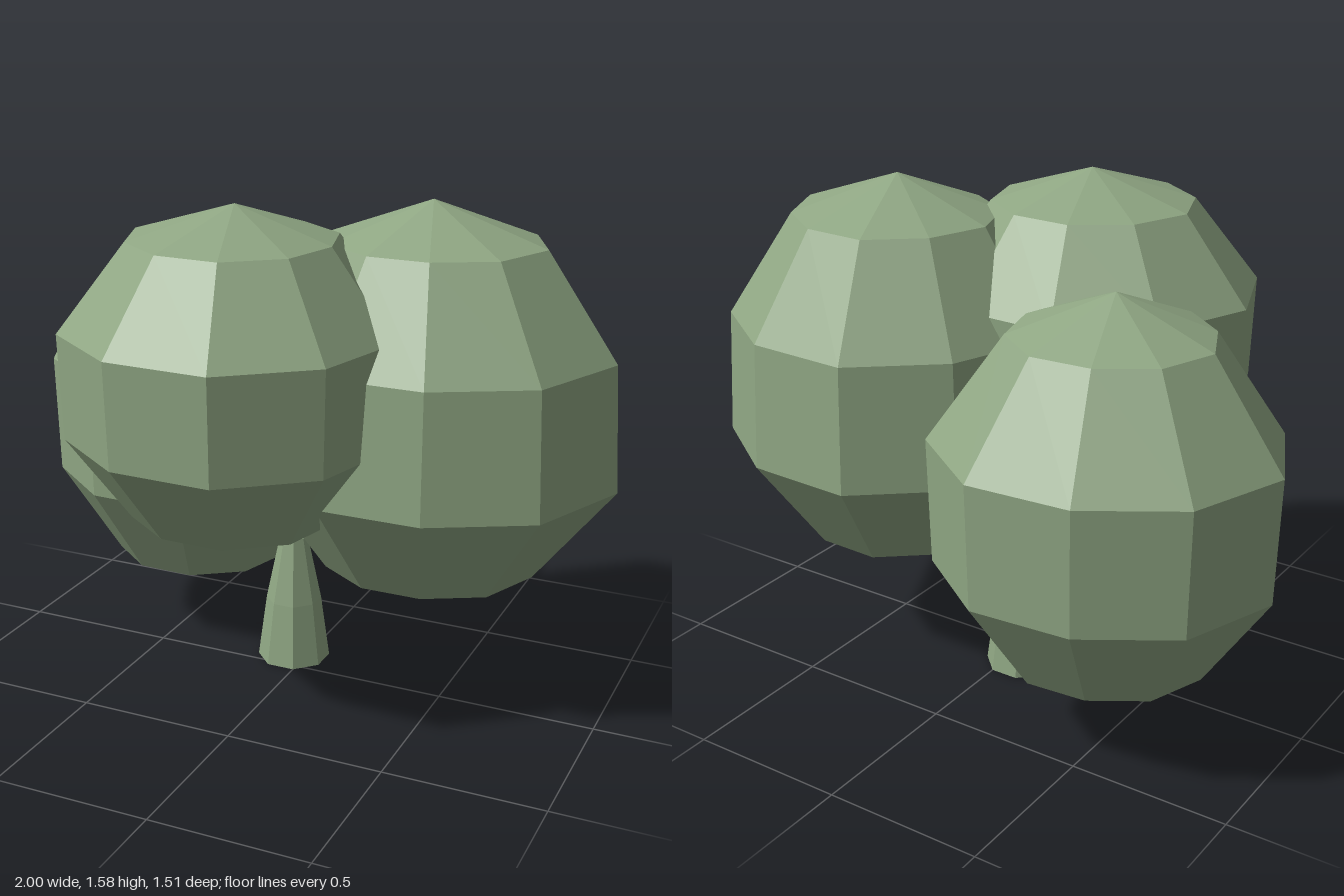
import * as THREE from 'three';

const SEGMENTS = 10, RINGS = 5;

// Faceted leaf ball: ten columns, five bands, each column with its own radius.
// Columns start at -x and run through +z, +x and -z.
function foliage(name, material, { centre, height, columns, ringScale }) {
  const geo = new THREE.SphereGeometry(1, SEGMENTS, RINGS);
  const pos = geo.attributes.position;
  for (let i = 0; i < pos.count; i++) {
    const ring = Math.floor(i / (SEGMENTS + 1));
    const col = (i % (SEGMENTS + 1)) % SEGMENTS;
    const angle = (col / SEGMENTS) * Math.PI * 2;
    const r = columns[col] * ringScale[ring];
    pos.setXYZ(i, -Math.cos(angle) * r, height * Math.cos((ring / RINGS) * Math.PI), Math.sin(angle) * r);
  }
  const flat = geo.toNonIndexed();
  flat.computeVertexNormals();
  const mesh = new THREE.Mesh(flat, material);
  mesh.name = name;
  mesh.position.set(...centre);
  return mesh;
}

export function createModel() {
  const group = new THREE.Group();
  group.name = 'tree';
  const green = new THREE.MeshStandardMaterial({ color: 0x8fa683, flatShading: true });
  green.name = 'sage green';

  // three overlapping leaf balls
  group.add(foliage('frontFoliage', green, {
    centre: [-0.08, 1.06, 0.25], height: 0.52,
    columns: [0.54, 0.525, 0.52, 0.53, 0.52, 0.5, 0.51, 0.5, 0.51, 0.52],
    ringScale: [0, 0.61, 1, 0.98, 0.62, 0],
  }));
  group.add(foliage('leftFoliage', green, {
    centre: [0.4, 0.935, -0.1], height: 0.635,
    columns: [0.55, 0.54, 0.52, 0.52, 0.57, 0.6, 0.555, 0.547, 0.56, 0.54],
    ringScale: [0, 0.59, 0.96, 1, 0.59, 0],
  }));
  group.add(foliage('rightFoliage', green, {
    centre: [-0.47, 0.77, -0.26], height: 0.62,
    columns: [0.53, 0.49, 0.5, 0.51, 0.52, 0.51, 0.53, 0.525, 0.5, 0.52],
    ringScale: [0, 0.58, 1, 0.98, 0.59, 0],
  }));

  // tapered eight-sided trunk with closed ends
  const profile = [[0, 0], [0.118, 0], [0.09, 0.21], [0.045, 0.43], [0, 0.43]];
  const trunk = new THREE.Mesh(
    new THREE.LatheGeometry(profile.map(([x, y]) => new THREE.Vector2(x, y)), 8, Math.PI / 8), green);
  trunk.name = 'trunk';
  trunk.position.set(-0.045, 0, -0.083);
  group.add(trunk);

  return group;
}
